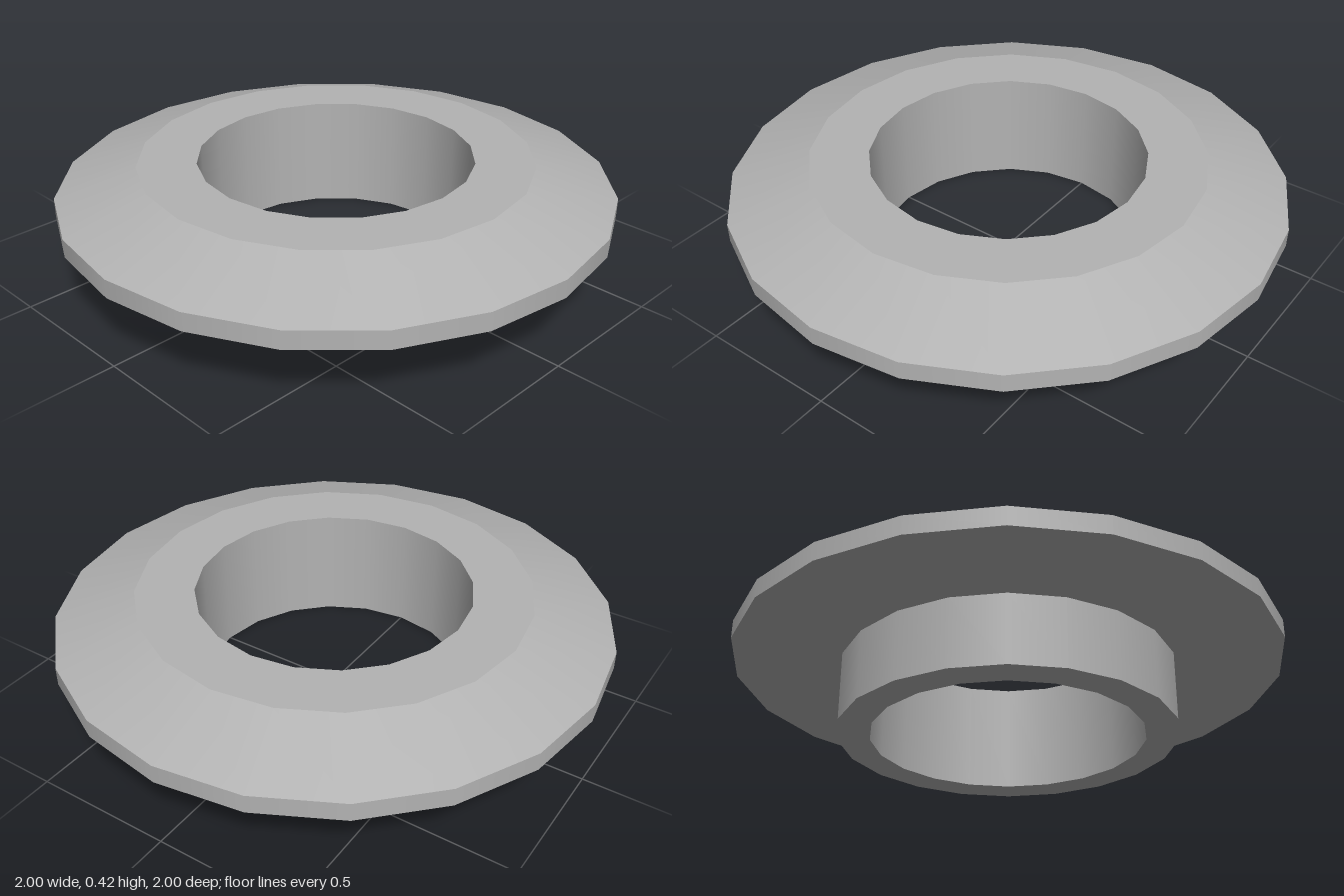
import * as THREE from 'three';

const SIDES = 20;

// Revolve each profile segment separately: smooth around, sharp between bands
function ringPart(name, bands, material) {
  const part = new THREE.Group();
  part.name = name;
  for (const [bandName, profile] of Object.entries(bands)) {
    const points = profile.map(([r, y]) => new THREE.Vector2(r, y));
    const mesh = new THREE.Mesh(new THREE.LatheGeometry(points, SIDES), material);
    mesh.name = bandName;
    part.add(mesh);
  }
  return part;
}

export function createModel() {
  const metal = new THREE.MeshStandardMaterial({ color: 0xb3b3b3 });
  metal.name = 'grey metal';

  const bore = 0.497, collar = 0.615, shoulder = 0.71, rim = 1;
  const under = 0.253, edge = 0.32, top = 0.42;

  const model = new THREE.Group();
  model.name = 'flangedBushing';

  // Lower sleeve
  model.add(ringPart('collar', {
    collarBottom: [[bore, 0], [collar, 0]],
    collarWall: [[collar, 0], [collar, under]],
  }, metal));

  // Wide bevelled disc
  model.add(ringPart('flange', {
    flangeUnderside: [[collar, under], [rim, under]],
    flangeRim: [[rim, under], [rim, edge]],
    flangeBevel: [[rim, edge], [shoulder, top]],
    flangeTop: [[shoulder, top], [bore, top]],
  }, metal));

  // Through hole
  model.add(ringPart('bore', {
    boreWall: [[bore, top], [bore, 0]],
  }, metal));

  return model;
}
